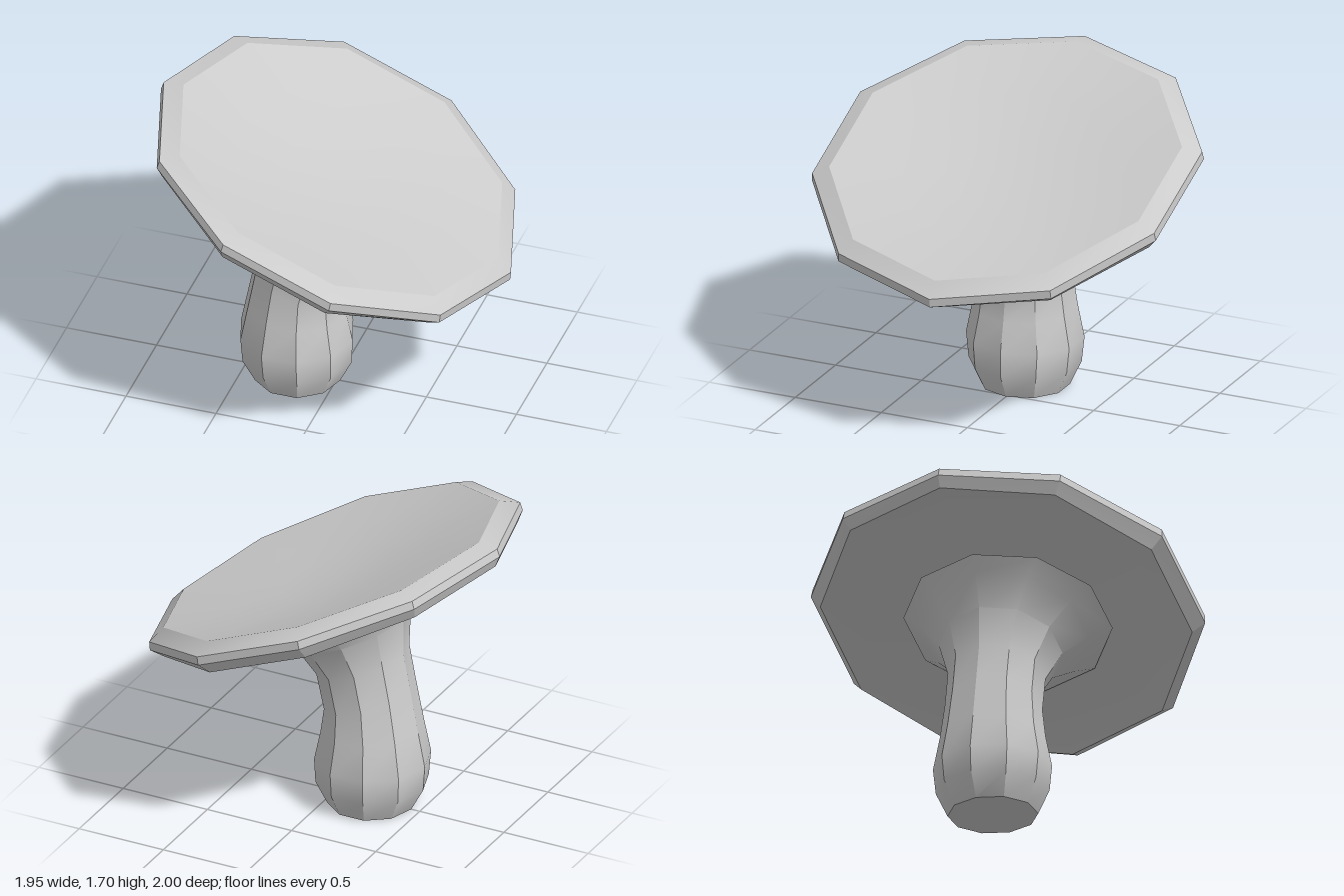
import * as THREE from 'three';
import { toCreasedNormals } from 'three/addons/utils/BufferGeometryUtils.js';

const SIDES = 10;

// Skin a stack of tilted ten-sided rings, listed from the underside to the top.
// Ring: [centre x, centre y, radius x, radius z, slope, lift of the sides]
function skinRings(rings, crease) {
  const positions = [];
  const point = ([cx, cy, rx, rz, slope, lift = 0], j) => {
    const a = (j / SIDES) * Math.PI * 2;
    const x = rx * Math.cos(a);
    const z = rz * Math.sin(a);
    return [cx + x, cy + slope * x + lift * z * z, z];
  };
  for (let i = 0; i < rings.length - 1; i++) {
    for (let j = 0; j < SIDES; j++) {
      const a = point(rings[i], j);
      const b = point(rings[i], j + 1);
      const c = point(rings[i + 1], j);
      const d = point(rings[i + 1], j + 1);
      if (rings[i + 1][2] > 0) positions.push(...c, ...d, ...b);
      if (rings[i][2] > 0) positions.push(...a, ...c, ...b);
    }
  }
  const geometry = new THREE.BufferGeometry();
  geometry.setAttribute('position', new THREE.Float32BufferAttribute(positions, 3));
  return toCreasedNormals(geometry, crease);
}

// Ring from its leftmost and rightmost points in the side profile
function profileRing(x0, y0, x1, y1, rz) {
  return [(x0 + x1) / 2, (y0 + y1) / 2, (x1 - x0) / 2, rz, (y1 - y0) / (x1 - x0)];
}

export function createModel() {
  const group = new THREE.Group();
  group.name = 'mushroom';
  const material = new THREE.MeshStandardMaterial({ color: 0xcccccc });

  // Stem: bulbous foot, narrow waist, leaning flare under the cap
  const stem = new THREE.Mesh(skinRings([
    [-0.21, 0, 0, 0, 0],
    profileRing(-0.45, 0, 0.02, 0, 0.24),
    profileRing(-0.52, 0.13, 0.085, 0.13, 0.3),
    profileRing(-0.53, 0.27, 0.09, 0.27, 0.315),
    profileRing(-0.49, 0.47, 0.055, 0.43, 0.28),
    profileRing(-0.445, 0.7, 0.035, 0.55, 0.26),
    profileRing(-0.405, 0.91, 0.08, 0.745, 0.26),
    profileRing(-0.405, 1.125, 0.195, 0.89, 0.33),
    profileRing(-0.46, 1.3, 0.36, 0.97, 0.45),
    profileRing(-0.5, 1.39, 0.49, 1.02, 0.56),
    [0, 1.24, 0.4, 0.45, -0.39],
  ], 0.55), material);
  stem.name = 'stem';

  // Cap: recessed underside, bevelled rim, shallow dished top
  const cap = new THREE.Mesh(skinRings([
    [-0.01, 1.24, 0.3, 0.33, -0.4],
    [-0.02, 1.24, 0.78, 0.84, -0.41],
    [-0.03, 1.205, 0.92, 0.99, -0.41, 0.01],
    [-0.005, 1.25, 0.97, 1.05, -0.408, 0.03],
    [0.005, 1.295, 0.965, 1.045, -0.408, 0.03],
    [0.025, 1.34, 0.875, 0.945, -0.41, 0.03],
    [0.01, 1.31, 0.55, 0.58, -0.4],
    [0.005, 1.285, 0.29, 0.31, -0.39],
    [0, 1.27, 0, 0, 0],
  ], 0.3), material);
  cap.name = 'cap';

  group.add(stem, cap);
  return group;
}
